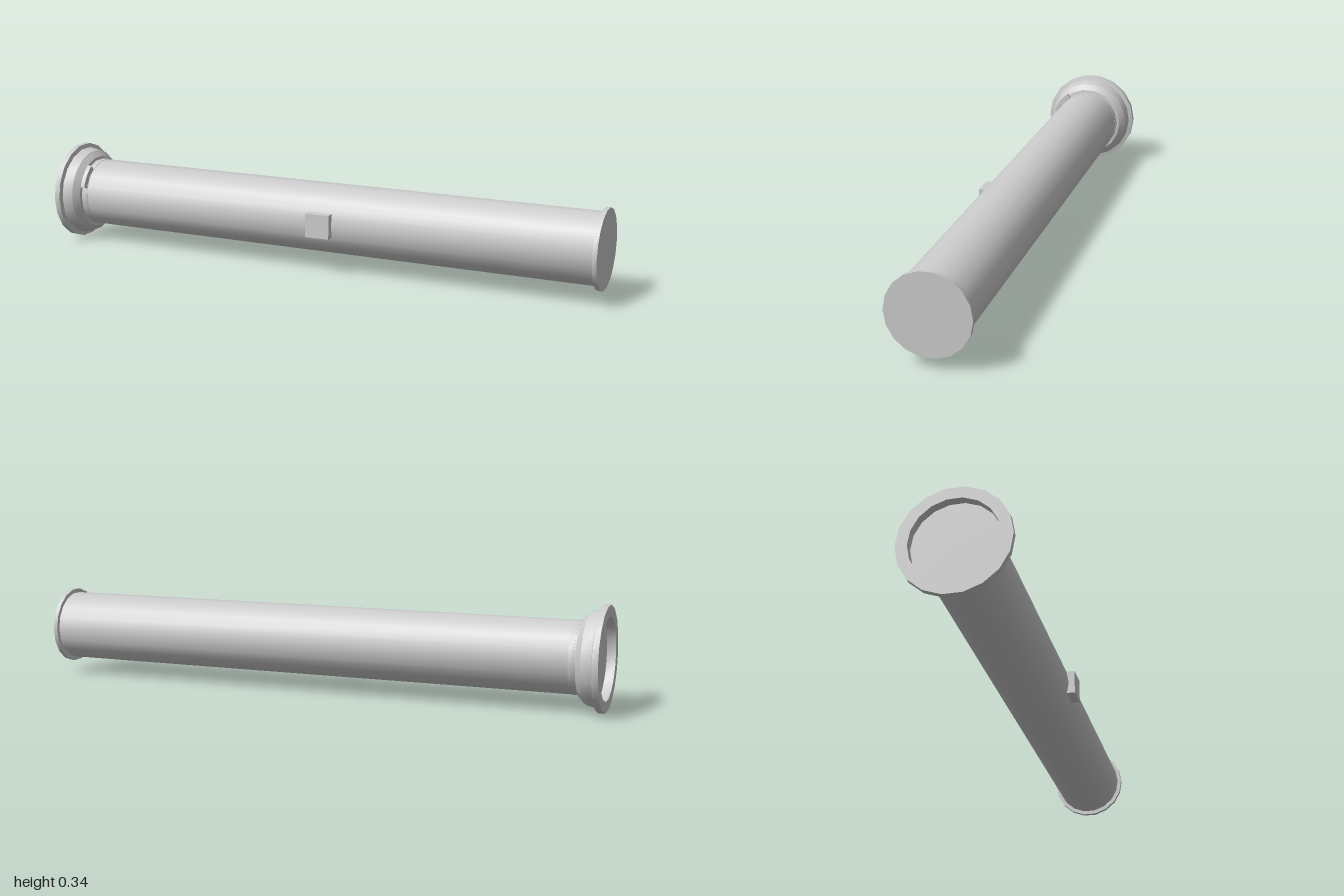
import * as THREE from 'three';
import { toCreasedNormals } from 'three/addons/utils/BufferGeometryUtils.js';

const AXIS_Y = 0.1725; // height of the tube's axis
const SIDES = 18;

export function createModel() {
  const model = new THREE.Group();
  model.name = 'telescopeTube';
  const grey = new THREE.MeshStandardMaterial({ color: 0xcccccc });
  grey.name = 'lightGrey';

  const add = (name, geometry) => {
    const mesh = new THREE.Mesh(toCreasedNormals(geometry, 0.5), grey);
    mesh.name = name;
    mesh.position.y = AXIS_Y;
    model.add(mesh);
  };

  // Turns a profile of [x, radius] points around the long axis
  const turned = (name, profile) => {
    const points = profile.map(([x, r]) => new THREE.Vector2(r, x));
    add(name, new THREE.LatheGeometry(points, SIDES).rotateZ(-Math.PI / 2));
  };

  // Stepped front collar with a recessed disc
  turned('frontCollar', [
    [-0.97, 0], [-0.97, 0.138], [-1, 0.138], [-1, 0.175], [-0.98, 0.175],
    [-0.976, 0.16], [-0.94, 0.152], [-0.92, 0.132], [-0.918, 0.118],
  ]);
  turned('mainTube', [[-0.93, 0.121], [0.987, 0.121]]);
  turned('rearCap', [[0.985, 0.115], [0.985, 0.135], [1, 0.135], [1, 0]]);

  // Thin band behind the collar
  turned('collarBand', [
    [-0.912, 0.12], [-0.912, 0.1222], [-0.895, 0.1222], [-0.895, 0.12],
  ]);

  // Short curved clip on the upper front of the band
  const start = THREE.MathUtils.degToRad(126);
  const end = THREE.MathUtils.degToRad(163);
  const arc = new THREE.Shape();
  arc.absarc(0, 0, 0.14, start, end, false);
  arc.absarc(0, 0, 0.118, end, start, true);
  const clip = new THREE.ExtrudeGeometry(arc, { depth: 0.016, bevelEnabled: false, curveSegments: 4 });
  add('collarClip', clip.rotateY(Math.PI / 2).translate(-0.913, 0, 0));

  // Small block on the front side of the tube
  add('sideBlock', new THREE.BoxGeometry(0.087, 0.082, 0.035).translate(0.048, 0.002, 0.1245));

  return model;
}
